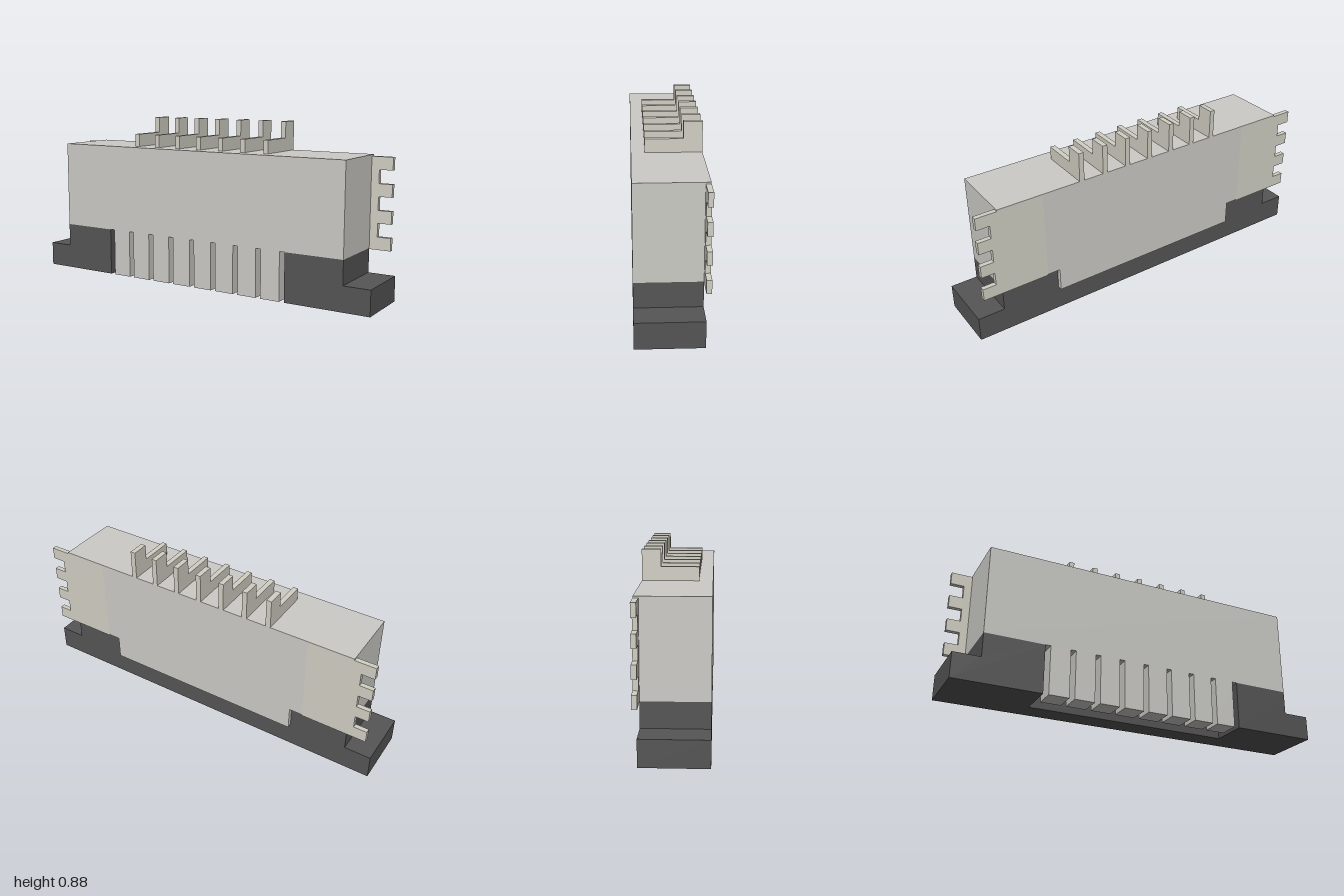
import * as THREE from 'three';

const FRONT = 0.172, BACK = -0.172, SKIN = -0.147; // depth planes
const PITCH = 0.134;

const housingMat = new THREE.MeshStandardMaterial({ color: 0xcccbc6, flatShading: true });
const metalMat = new THREE.MeshStandardMaterial({ color: 0xd2d0c4, flatShading: true });
const darkMat = new THREE.MeshStandardMaterial({ color: 0x555555, flatShading: true });

function add(group, name, geometry, material) {
  const mesh = new THREE.Mesh(geometry, material);
  mesh.name = name;
  group.add(mesh);
  return mesh;
}

// Box given by its limits on each axis
function block(x0, x1, y0, y1, z0, z1) {
  return new THREE.BoxGeometry(x1 - x0, y1 - y0, z1 - z0)
    .translate((x0 + x1) / 2, (y0 + y1) / 2, (z0 + z1) / 2);
}

// Front outline extruded between two depths; side = -1 mirrors it in x
function slab(points, z0, z1, side = 1) {
  const shape = new THREE.Shape(points.map(([x, y]) => new THREE.Vector2(x * side, y)));
  return new THREE.ExtrudeGeometry(shape, { depth: z1 - z0, bevelEnabled: false }).translate(0, 0, z0);
}

export function createModel() {
  const model = new THREE.Group();
  model.name = 'ribbonCableConnector';

  // Housing: main block, stepped back plate and the wall behind the fingers
  const housing = new THREE.Group();
  housing.name = 'housing';
  model.add(housing);
  add(housing, 'housingBlock', block(-0.86, 0.86, 0.255, 0.725, SKIN, FRONT), housingMat);
  const half = [[0.55, 0.13], [0.55, 0.255], [0.62, 0.255], [0.62, 0.717], [0.86, 0.717], [0.86, 0.725]];
  const mirrored = half.map(([x, y]) => [-x, y]).reverse();
  add(housing, 'backPlate', slab([...half, ...mirrored], BACK, SKIN), housingMat);
  add(housing, 'innerWall', block(-0.55, 0.55, 0.13, 0.255, SKIN, -0.03), housingMat);

  // Row of eight fingers under the front edge
  for (let i = 0; i < 8; i++) {
    const x = (i - 3.5) * PITCH;
    add(housing, 'finger', block(x - 0.053, x + 0.053, 0, 0.255, 0.06, FRONT), housingMat);
  }

  // Dark slider: two stepped ends joined by a rear strip
  const slider = new THREE.Group();
  slider.name = 'slider';
  model.add(slider);
  const end = [[0.55, 0], [1, 0], [1, 0.13], [0.86, 0.13], [0.86, 0.255], [0.55, 0.255]];
  for (const side of [-1, 1]) add(slider, 'sliderEnd', slab(end, SKIN, FRONT, side), darkMat);
  add(slider, 'sliderStrip', block(-0.55, 0.55, 0, 0.13, SKIN, -0.03), darkMat);

  // Toothed mounting tabs, four teeth on each outer edge
  const tab = [[0.62, 0.717], [0.62, 0.25]];
  for (let i = 0; i < 4; i++) {
    const y = 0.25 + i * 0.134;
    if (i > 0) tab.push([0.9, y]);
    tab.push([0.97, y], [0.97, y + 0.065]);
    if (i < 3) tab.push([0.9, y + 0.065]);
  }
  for (const side of [-1, 1]) add(model, 'mountingTab', slab(tab, BACK, SKIN, side), metalMat);

  // Seven L-shaped contact pins on top
  const pin = new THREE.Shape([
    [0.105, 0.725], [0.105, 0.793], [-0.08, 0.793], [-0.08, 0.877], [BACK, 0.877], [BACK, 0.725],
  ].map(([z, y]) => new THREE.Vector2(-z, y)));
  const pinGeometry = new THREE.ExtrudeGeometry(pin, { depth: 0.027, bevelEnabled: false })
    .translate(0, 0, -0.0135).rotateY(Math.PI / 2);
  for (let i = -3; i <= 3; i++) {
    add(model, 'contactPin', pinGeometry, metalMat).position.x = i * PITCH;
  }

  return model;
}
